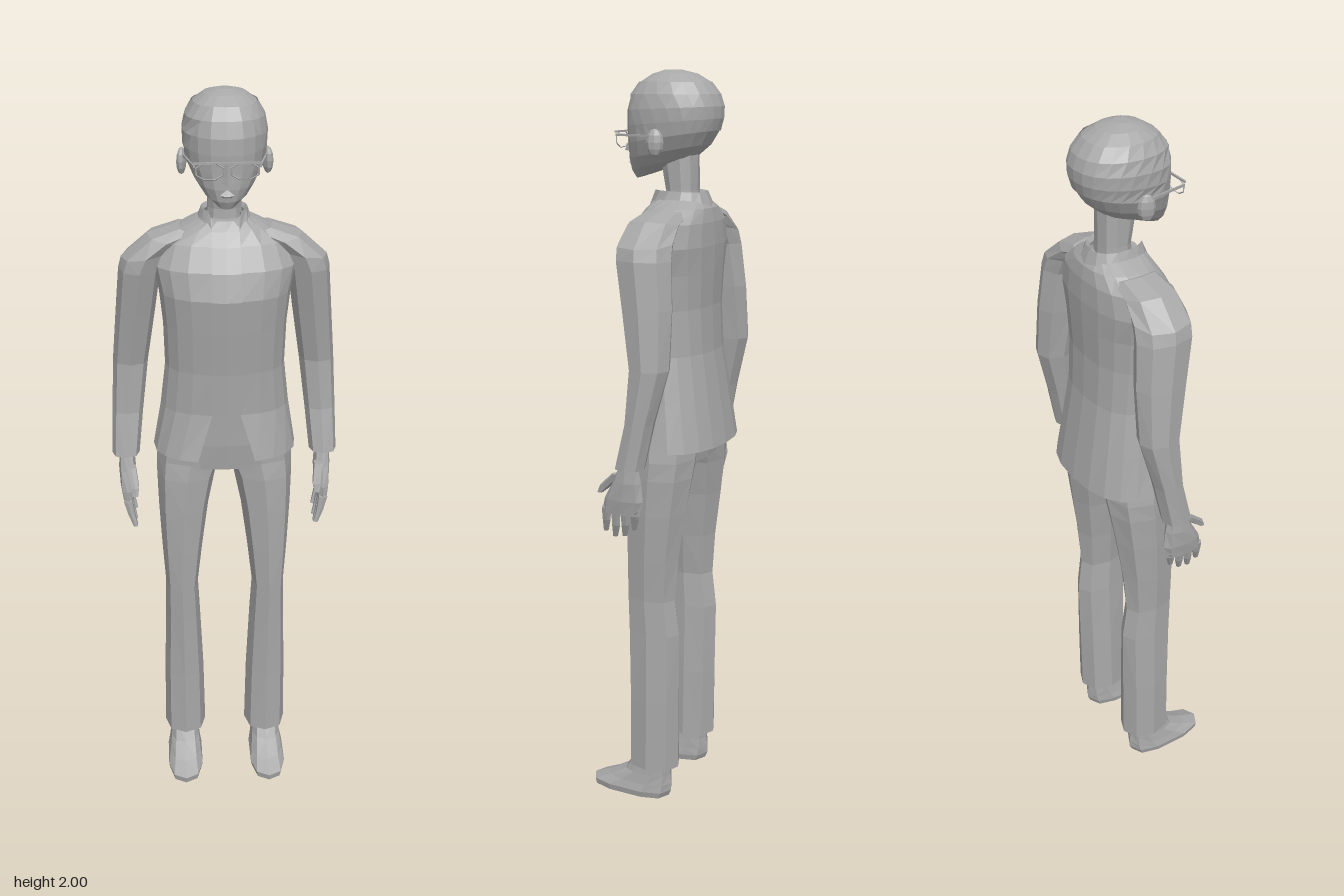
import * as THREE from 'three';

const clay = new THREE.MeshStandardMaterial({ color: 0xa8a8a8, flatShading: true });
clay.name = 'grey';
const clayThin = clay.clone();
clayThin.side = THREE.DoubleSide;
clayThin.name = 'grey thin';

// Skin bottom-to-top rings of points; each ring runs counter-clockwise from the front.
function loft(rings, { open = false, caps = true } = {}) {
  const n = rings[0].length, pos = rings.flat(2), idx = [];
  for (let r = 0; r < rings.length - 1; r++) {
    for (let j = 0; j < (open ? n - 1 : n); j++) {
      const a = r * n + j, b = r * n + (j + 1) % n;
      idx.push(a, b, b + n, a, b + n, a + n);
    }
  }
  if (!open && caps) {
    [0, rings.length - 1].forEach((r) => {
      const c = pos.length / 3;
      for (let k = 0; k < 3; k++) pos.push(rings[r].reduce((s, p) => s + p[k], 0) / n);
      for (let j = 0; j < n; j++) {
        const a = r * n + j, b = r * n + (j + 1) % n;
        if (r === 0) idx.push(c, b, a); else idx.push(c, a, b);
      }
    });
  }
  const g = new THREE.BufferGeometry();
  g.setAttribute('position', new THREE.Float32BufferAttribute(pos, 3));
  g.setIndex(idx);
  g.computeVertexNormals();
  return g;
}

// Rounded ring between x limits and z limits, tilted by different heights;
// gap leaves an opening of that half width at the front.
function ring(n, { xo, xi = -xo, zf, zb, y, yi = y, yb = y, gap = 0, p = 0.85 }) {
  const cx = (xo + xi) / 2, rx = (xo - xi) / 2, cz = (zf + zb) / 2, rz = (zf - zb) / 2;
  const a0 = gap ? Math.asin(Math.pow(gap / rx, 1 / p)) : 0;
  const bend = (v) => Math.sign(v) * Math.pow(Math.abs(v), p);
  return Array.from({ length: n }, (_, j) => {
    const a = gap ? a0 + (2 * Math.PI - 2 * a0) * j / (n - 1) : 2 * Math.PI * j / n;
    const s = bend(Math.sin(a)), c = bend(Math.cos(a));
    return [cx + rx * s, y + (yi - y) * (1 - s) / 2 + (yb - y) * (1 - c) / 2, cz + rz * c];
  });
}

const limb = (n, rows, p) => loft(rows.map(([y, xo, xi, zf, zb, yi = y]) => ring(n, { y, xo, xi, zf, zb, yi, p })));

function mirrored(geo) {
  const g = geo.clone().scale(-1, 1, 1), i = g.index.array;
  for (let k = 0; k < i.length; k += 3) [i[k], i[k + 1]] = [i[k + 1], i[k]];
  g.computeVertexNormals();
  return g;
}

export function createModel() {
  const model = new THREE.Group();
  model.name = 'standingMan';
  const add = (name, geo, mat = clay) => {
    const m = new THREE.Mesh(geo, mat);
    m.name = name;
    model.add(m);
  };
  const pair = (name, geo, mat) => {
    add('left' + name, geo, mat);
    add('right' + name, mirrored(geo), mat);
  };

  // Head, with the jaw rising toward the back: y front, y back, half width, z front, z back
  const headRows = [
    [1.725, 1.765, 0.03, 0.09, -0.03], [1.745, 1.785, 0.058, 0.1, -0.08],
    [1.775, 1.815, 0.08, 0.104, -0.115], [1.815, 1.85, 0.097, 0.104, -0.136],
    [1.86, 1.88, 0.103, 0.106, -0.145], [1.9, 1.91, 0.104, 0.105, -0.146],
    [1.94, 1.94, 0.097, 0.094, -0.136], [1.97, 1.97, 0.08, 0.07, -0.112],
    [1.99, 1.99, 0.053, 0.038, -0.078], [2.0, 2.0, 0.022, 0.005, -0.035],
  ];
  add('head', loft(headRows.map(([y, yb, xo, zf, zb]) => ring(18, { y, yb, xo, zf, zb, p: 0.9 }))));

  // Close-cropped hair shell around the sides and back
  add('hair', loft(headRows.slice(3, 8).map(([y, yb, xo, zf, zb], i) => ring(17, {
    y, yb, xo: xo + 0.003, zf: zf + 0.003, zb: zb - 0.003, p: 0.9, gap: [0.098, 0.092, 0.085, 0.06, 0.04][i],
  })), { open: true }), clayThin);

  // Face
  add('nose', loft([
    ring(4, { xo: 0.015, zf: 0.128, zb: 0.09, y: 1.795 }),
    ring(4, { xo: 0.012, zf: 0.122, zb: 0.09, y: 1.81 }),
    ring(4, { xo: 0.006, zf: 0.108, zb: 0.09, y: 1.85 }),
  ]));
  add('upperLip', new THREE.ConeGeometry(0.02, 0.014, 6).scale(1, 1, 0.5).translate(0, 1.772, 0.103));
  add('lowerLip', new THREE.SphereGeometry(0.016, 6, 4).scale(1, 0.4, 0.6).translate(0, 1.762, 0.1));
  pair('Ear', new THREE.SphereGeometry(0.03, 8, 6).scale(0.4, 1.15, 0.75).rotateY(0.35).translate(0.108, 1.822, -0.015));

  // Glasses
  const rim = new THREE.TorusGeometry(0.03, 0.002, 4, 8).rotateZ(Math.PI / 8).scale(1.2, 0.72, 1);
  pair('GlassesRim', rim.translate(0.043, 1.826, 0.112));
  pair('GlassesTemple', new THREE.BoxGeometry(0.004, 0.006, 0.125).rotateY(-0.2).translate(0.093, 1.838, 0.05));
  add('glassesBar', new THREE.BoxGeometry(0.165, 0.005, 0.005).translate(0, 1.846, 0.112));

  // Neck and shirt
  add('neck', limb(10, [[1.62, 0.05, -0.05, 0.005, -0.09], [1.7, 0.045, -0.045, 0, -0.085], [1.8, 0.045, -0.045, 0.02, -0.085]]));

  // Jacket: y, half width, z front, z back, half opening
  const jacketRows = [
    [1.03, 0.195, 0.1, -0.175, 0.077], [1.16, 0.174, 0.078, -0.155, 0.038],
    [1.28, 0.16, 0.085, -0.136, 0.037], [1.4, 0.163, 0.1, -0.13, 0.037],
    [1.49, 0.172, 0.11, -0.134, 0.037], [1.56, 0.188, 0.092, -0.136, 0.037],
    [1.62, 0.165, 0.062, -0.133, 0.036], [1.655, 0.11, 0.042, -0.126, 0.035],
    [1.68, 0.058, 0.03, -0.106, 0.034],
  ];
  add('jacket', loft(jacketRows.map(([y, xo, zf, zb, gap]) => ring(19, { y, xo, zf, zb, gap })), { open: true }), clayThin);
  add('shirt', loft(jacketRows.slice(1).map(([y, xo, zf, zb]) =>
    ring(16, { y: y - 0.005, xo: xo - 0.012, zf: zf - 0.006, zb: zb + 0.012 }))));
  add('collar', loft([
    ring(13, { y: 1.655, xo: 0.075, zf: 0.045, zb: -0.125, gap: 0.035 }),
    ring(13, { y: 1.7, yb: 1.695, xo: 0.06, zf: 0.03, zb: -0.108, gap: 0.04 }),
    ring(13, { y: 1.69, yb: 1.685, xo: 0.052, zf: 0.022, zb: -0.098, gap: 0.036 }),
  ], { open: true }), clayThin);

  // Sleeves: y outer, x outer, x inner, z front, z back, y inner
  pair('Sleeve', limb(8, [
    [1.01, 0.31, 0.235, 0.015, -0.065], [1.13, 0.306, 0.222, -0.012, -0.088],
    [1.27, 0.3, 0.205, -0.018, -0.126], [1.42, 0.287, 0.182, 0.012, -0.126],
    [1.54, 0.276, 0.165, 0.036, -0.116], [1.57, 0.268, 0.14, 0.038, -0.112, 1.59],
    [1.632, 0.2, 0.1, 0.035, -0.102, 1.61], [1.655, 0.125, 0.05, 0.02, -0.1, 1.63],
  ]));

  // Hands
  pair('Palm', limb(8, [
    [0.88, 0.283, 0.256, 0.06, -0.05], [0.92, 0.29, 0.25, 0.052, -0.06],
    [0.97, 0.293, 0.246, 0.025, -0.055], [1.03, 0.29, 0.25, 0, -0.045],
  ]));
  for (let i = 0; i < 4; i++) {
    const z = 0.048 - i * 0.028, tip = z + 0.012, y = [0.822, 0.81, 0.815, 0.835][i];
    pair('Finger' + (i + 1), limb(6, [
      [y, 0.257, 0.244, tip + 0.007, tip - 0.007], [y + 0.035, 0.272, 0.252, z + 0.016, z - 0.008],
      [0.895, 0.283, 0.257, z + 0.013, z - 0.014],
    ]));
  }
  pair('Thumb', limb(6, [
    [0.925, 0.256, 0.24, 0.086, 0.07], [0.945, 0.26, 0.237, 0.078, 0.045], [0.985, 0.27, 0.245, 0.035, 0],
  ]));

  // Trousers
  add('hips', limb(16, [
    [0.985, 0.182, -0.182, 0.05, -0.12], [1.06, 0.18, -0.18, 0.06, -0.128], [1.17, 0.16, -0.16, 0.066, -0.12],
  ]));
  pair('TrouserLeg', limb(8, [
    [0.095, 0.18, 0.06, 0.055, -0.09], [0.3, 0.178, 0.064, 0.055, -0.092],
    [0.5, 0.172, 0.073, 0.06, -0.094], [0.6, 0.17, 0.078, 0.062, -0.081],
    [0.72, 0.178, 0.064, 0.062, -0.09], [0.85, 0.185, 0.046, 0.062, -0.108],
    [0.95, 0.188, 0.025, 0.06, -0.122], [1.0, 0.187, 0.004, 0.055, -0.127], [1.1, 0.175, 0.002, 0.06, -0.125],
  ]));

  // Shoes, turned slightly outward at the toe
  pair('Shoe', limb(10, [
    [0, 0.172, 0.075, 0.172, -0.062], [0.018, 0.176, 0.071, 0.175, -0.07],
    [0.04, 0.17, 0.076, 0.125, -0.07], [0.07, 0.165, 0.08, 0.07, -0.066], [0.12, 0.16, 0.085, 0.035, -0.066],
  ], 0.75));

  return model;
}
